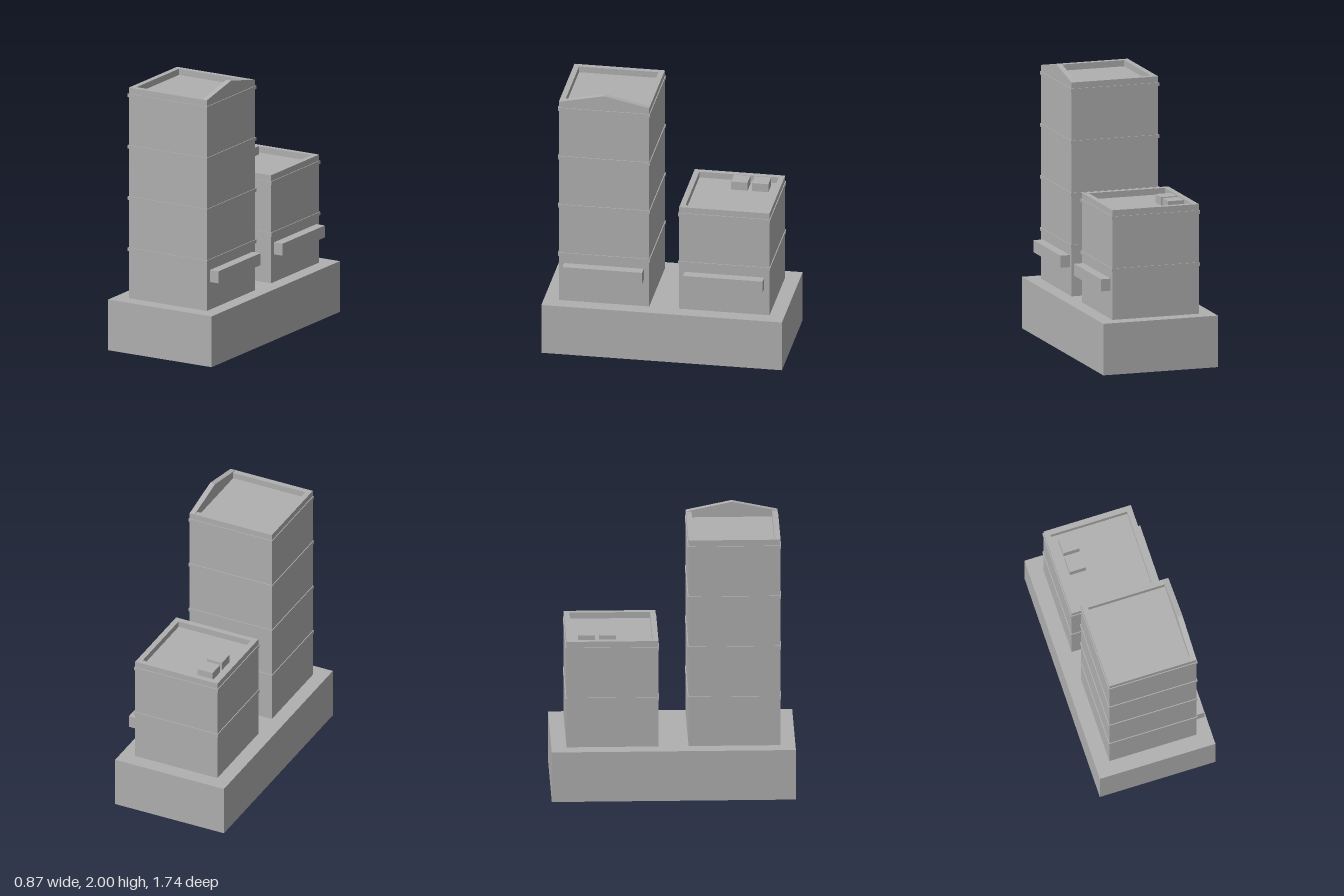
import * as THREE from 'three';

const concrete = new THREE.MeshStandardMaterial({ color: 0xb0b0b0 });
concrete.name = 'concrete grey';

const HALF = 0.327;    // half width of a tower
const INNER = 0.287;   // half width inside the parapet
const BASE_TOP = 0.375;
const STOREY = 0.379;
const PARAPET = 0.045;

// Box given by its minimum and maximum corners
function addBox(parent, name, [x0, y0, z0], [x1, y1, z1]) {
  const mesh = new THREE.Mesh(new THREE.BoxGeometry(x1 - x0, y1 - y0, z1 - z0), concrete);
  mesh.name = name;
  mesh.position.set((x0 + x1) / 2, (y0 + y1) / 2, (z0 + z1) / 2);
  parent.add(mesh);
}

function squareOutline(path, h) {
  path.moveTo(-h, -h);
  path.lineTo(h, -h);
  path.lineTo(h, h);
  path.lineTo(-h, h);
  path.closePath();
  return path;
}

function createTower(name, storeys, z) {
  const tower = new THREE.Group();
  tower.name = name;
  tower.position.z = z;
  const deck = BASE_TOP + storeys * STOREY - 0.005;

  addBox(tower, 'walls', [-HALF, BASE_TOP, -HALF], [HALF, deck, HALF]);

  // Projecting floor bands
  for (let i = 1; i <= storeys; i++) {
    const top = BASE_TOP + i * STOREY - 0.005;
    addBox(tower, 'floorBand', [-0.333, top - 0.025, -0.333], [0.333, top, 0.333]);
  }

  // Square parapet ring around the roof
  const ring = squareOutline(new THREE.Shape(), HALF);
  ring.holes.push(squareOutline(new THREE.Path(), INNER));
  const parapet = new THREE.Mesh(
    new THREE.ExtrudeGeometry(ring, { depth: PARAPET, bevelEnabled: false }), concrete);
  parapet.name = 'parapet';
  parapet.rotation.x = -Math.PI / 2;
  parapet.position.y = deck;
  tower.add(parapet);

  // Side balcony
  addBox(tower, 'balcony', [HALF, 0.58, -0.288], [0.398, 0.668, 0.288]);
  return { tower, deck };
}

export function createModel() {
  const model = new THREE.Group();
  model.name = 'twinTowerBuilding';
  addBox(model, 'podium', [-0.433, 0, -0.87], [0.433, BASE_TOP, 0.87]);

  const front = createTower('frontTower', 4, 0.435);
  const back = createTower('backTower', 2, -0.435);
  model.add(front.tower, back.tower);

  // Gable standing on the left parapet of the tall tower
  const eave = front.deck + PARAPET;
  const outline = new THREE.Shape();
  outline.moveTo(-HALF, eave);
  outline.lineTo(HALF, eave);
  outline.lineTo(0, 2);
  outline.closePath();
  const gable = new THREE.Mesh(
    new THREE.ExtrudeGeometry(outline, { depth: HALF - INNER, bevelEnabled: false }), concrete);
  gable.name = 'gable';
  gable.rotation.y = Math.PI / 2;
  gable.position.x = INNER;
  front.tower.add(gable);

  // Pair of rooftop units on the low tower
  for (const z of [-0.24, -0.09]) {
    addBox(back.tower, 'roofUnit', [-0.245, back.deck, z], [-0.125, 1.19, z + 0.12]);
  }
  return model;
}
